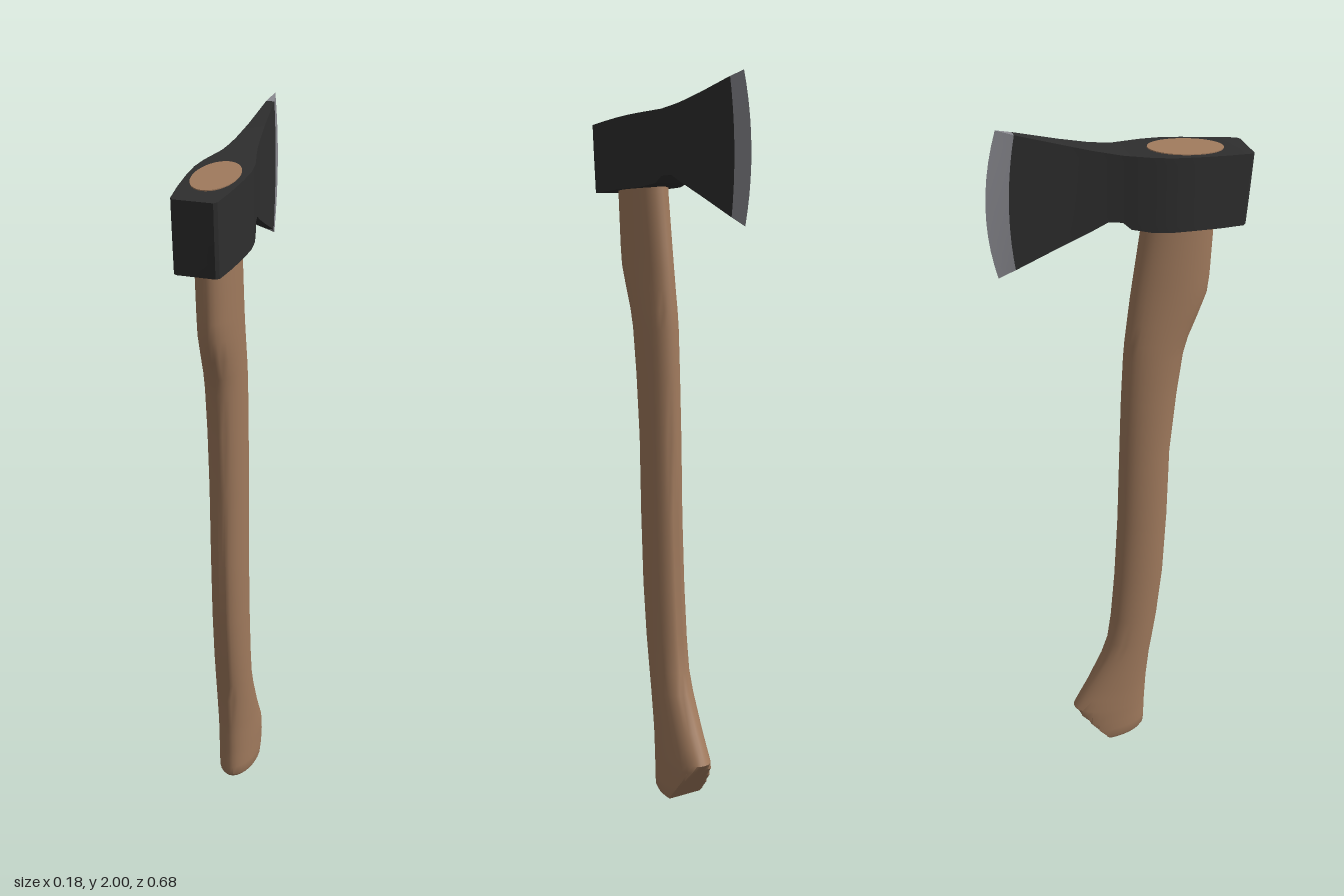
import * as THREE from 'three';
import { toCreasedNormals } from 'three/addons/utils/BufferGeometryUtils.js';

// Skin a list of closed rings, with a fan cap on each end
function loft(rings, crease) {
  const n = rings[0].length;
  const pos = rings.flat(2);
  const idx = [];
  for (let r = 0; r < rings.length - 1; r++) {
    for (let j = 0; j < n; j++) {
      const a = r * n + j, b = r * n + (j + 1) % n;
      idx.push(a, b, b + n, a, b + n, a + n);
    }
  }
  [0, rings.length - 1].forEach((r, end) => {
    const centre = pos.length / 3;
    for (let k = 0; k < 3; k++) pos.push(rings[r].reduce((s, p) => s + p[k], 0) / n);
    for (let j = 0; j < n; j++) {
      const a = r * n + j, b = r * n + (j + 1) % n;
      idx.push(centre, end ? a : b, end ? b : a);
    }
  });
  const geo = new THREE.BufferGeometry();
  geo.setAttribute('position', new THREE.Float32BufferAttribute(pos, 3));
  geo.setIndex(idx);
  return toCreasedNormals(geo, crease);
}

// Oval handle section; the foot is cut off along a slanted plane
function handleRing([y, back, front, half]) {
  const ring = [];
  const cut = y < 0.125 ? -0.05 - 0.833 * y : -1;
  for (let i = 0; i < 32; i++) {
    const t = (i / 32) * Math.PI * 2;
    const z = (back + front) / 2 + Math.cos(t) * (back - front) / 2;
    ring.push([Math.sin(t) * half, y, Math.max(z, cut)]);
  }
  return ring;
}

// Head section: z follows a curve through its top, middle and bottom values
function headRing([zTop, zMid, zBot, yTop, yBot, half]) {
  const right = [];
  for (let i = 0; i <= 10; i++) {
    const t = i / 10;
    const z = zTop * (1 - t) * (1 - 2 * t) + zMid * 4 * t * (1 - t) + zBot * t * (2 * t - 1);
    right.push([half, yTop + (yBot - yTop) * t, z]);
  }
  const left = right.map(([x, y, z]) => [-x, y, z]).reverse();
  return [...right, ...left];
}

export function createModel() {
  const wood = new THREE.MeshStandardMaterial({ name: 'wood', color: 0xa07a5d });
  const iron = new THREE.MeshStandardMaterial({ name: 'black iron', color: 0x2e2e2e });
  const steel = new THREE.MeshStandardMaterial({ name: 'ground steel', color: 0x8a8a90 });

  const axe = new THREE.Group();
  axe.name = 'axe';
  const add = (name, geo, mat) => {
    const mesh = new THREE.Mesh(geo, mat);
    mesh.name = name;
    axe.add(mesh);
    return mesh;
  };

  // Handle: height, back z, front z, half width
  const handle = [
    [0, 0.064, -0.16, 0.052],
    [0.012, 0.073, -0.16, 0.056],
    [0.04, 0.075, -0.16, 0.057],
    [0.07, 0.075, -0.158, 0.057],
    [0.1, 0.076, -0.155, 0.057],
    [0.12, 0.077, -0.151, 0.057],
    [0.16, 0.079, -0.13, 0.055],
    [0.2, 0.081, -0.108, 0.054],
    [0.3, 0.091, -0.06, 0.052],
    [0.36, 0.1, -0.04, 0.051],
    [0.45, 0.113, -0.028, 0.051],
    [0.6, 0.129, -0.016, 0.051],
    [0.8, 0.139, -0.006, 0.051],
    [1.02, 0.144, 0, 0.052],
    [1.2, 0.161, 0.005, 0.052],
    [1.33, 0.178, 0.011, 0.053],
    [1.38, 0.192, 0.015, 0.053],
    [1.44, 0.217, 0.022, 0.053],
    [1.5, 0.24, 0.029, 0.053],
    [1.55, 0.246, 0.036, 0.053],
    [1.7, 0.253, 0.058, 0.054],
    [1.8, 0.255, 0.066, 0.054],
  ];
  add('handle', loft(handle.map(handleRing), 0.6), wood);

  // Head from poll to bevel line: z top, middle, bottom, y top, bottom, half width
  const bevelLine = [-0.264, -0.284, -0.274, 1.987, 1.637, 0.011];
  const head = [
    [0.337, 0.33, 0.322, 1.889, 1.7, 0.05],
    [0.329, 0.322, 0.314, 1.89, 1.7, 0.058],
    [0.26, 0.255, 0.25, 1.896, 1.704, 0.067],
    [0.18, 0.18, 0.18, 1.903, 1.709, 0.073],
    [0.12, 0.12, 0.12, 1.908, 1.712, 0.074],
    [0.07, 0.07, 0.07, 1.912, 1.715, 0.067],
    [0.016, 0.016, 0.016, 1.917, 1.725, 0.052],
    [-0.005, -0.005, -0.005, 1.919, 1.744, 0.046],
    [-0.04, -0.04, -0.04, 1.926, 1.746, 0.038],
    [-0.076, -0.076, -0.076, 1.934, 1.727, 0.032],
    [-0.15, -0.157, -0.155, 1.954, 1.691, 0.022],
    bevelLine,
  ];
  add('axeHead', loft(head.map(headRing), 0.5), iron);

  // Sharpened strip running to the curved edge
  const edge = [-0.307, -0.34, -0.317, 2.0, 1.615, 0.0003];
  add('cuttingEdge', loft([bevelLine, edge].map(headRing), 0.5), steel);

  // End of the handle showing flush in the eye
  const oval = new THREE.Shape();
  oval.absellipse(0, 0, 0.057, 0.1, 0, Math.PI * 2);
  const eye = add('handleEnd',
    new THREE.ExtrudeGeometry(oval, { depth: 0.004, bevelEnabled: false, curveSegments: 24 }), wood);
  eye.rotation.x = -Math.PI / 2 + 0.084;
  eye.position.set(0, 1.902, 0.172);

  // Whole axe stands turned slightly about the vertical
  axe.rotation.y = -0.167;
  axe.position.x = 0.016;
  const model = new THREE.Group();
  model.name = 'model';
  model.add(axe);
  return model;
}
